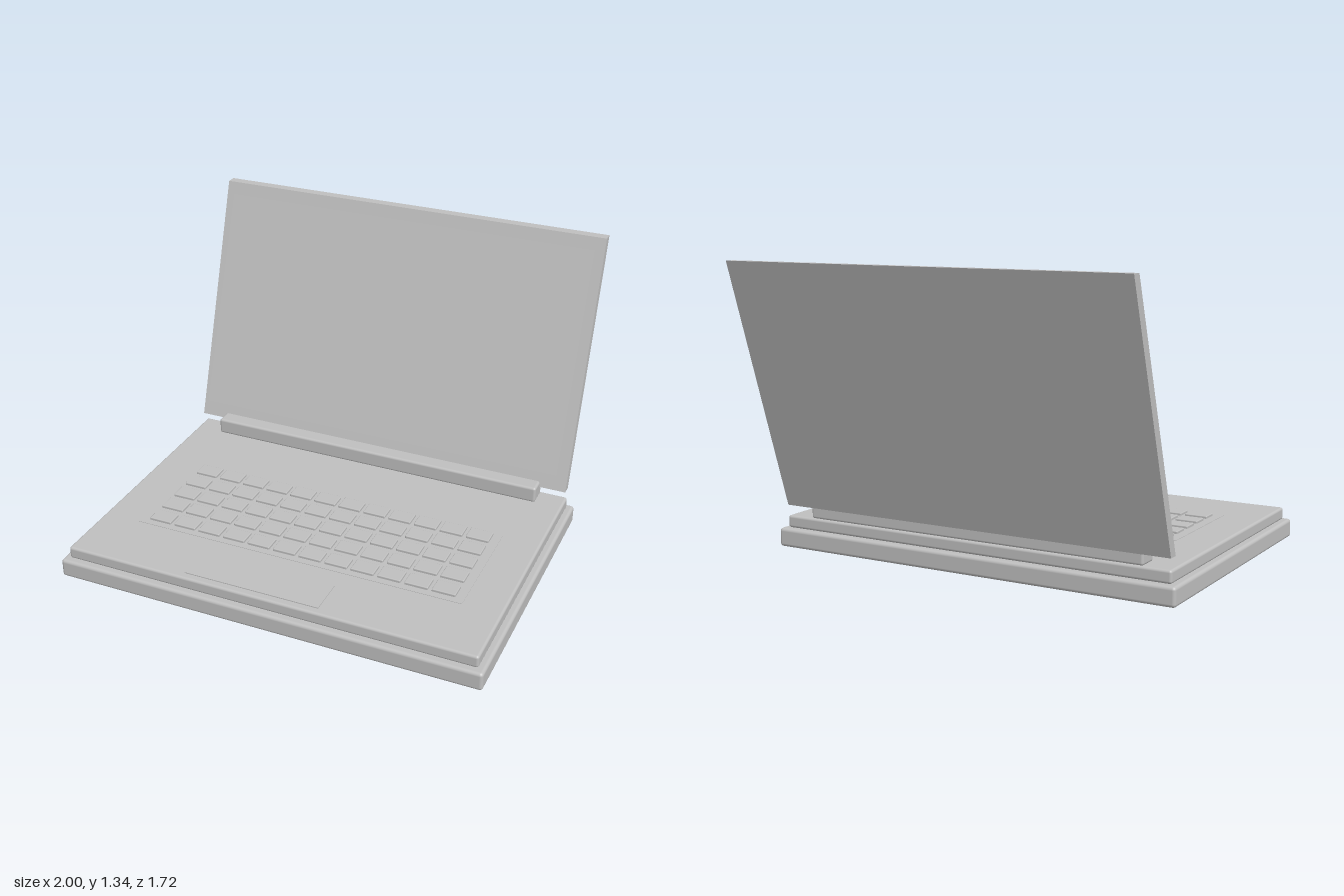
import * as THREE from 'three';
import { RoundedBoxGeometry } from 'three/addons/geometries/RoundedBoxGeometry.js';

const grey = new THREE.MeshStandardMaterial({ color: 0xbfbfbf });
grey.name = 'light grey';

function add(parent, name, geometry) {
  const mesh = new THREE.Mesh(geometry, grey);
  mesh.name = name;
  parent.add(mesh);
  return mesh;
}

// Box with softened edges, given by its limits on each axis
function softBox(parent, name, [x0, x1], [y0, y1], [z0, z1], radius) {
  const g = new RoundedBoxGeometry(x1 - x0, y1 - y0, z1 - z0, 3, radius);
  g.translate((x0 + x1) / 2, (y0 + y1) / 2, (z0 + z1) / 2);
  return add(parent, name, g);
}

// Thin flat plate lying on the deck
function plate(parent, name, [x0, x1], [z0, z1], y0, y1) {
  const g = new THREE.BoxGeometry(x1 - x0, y1 - y0, z1 - z0);
  g.translate((x0 + x1) / 2, (y0 + y1) / 2, (z0 + z1) / 2);
  return add(parent, name, g);
}

// Lean an upright geometry back, so its middle runs from zBottom to zTop
function lean(g, yBottom, yTop, zBottom, zTop) {
  const p = g.attributes.position;
  for (let i = 0; i < p.count; i++) {
    const t = (p.getY(i) - yBottom) / (yTop - yBottom);
    p.setZ(i, p.getZ(i) + zBottom + (zTop - zBottom) * t);
  }
  g.computeVertexNormals();
  return g;
}

// Upright sheet facing forward, leaning back
function leaningSheet(parent, name, halfWidth, yBottom, yTop, zBottom, zTop) {
  const g = new THREE.PlaneGeometry(halfWidth * 2, yTop - yBottom);
  g.translate(0, (yBottom + yTop) / 2, 0);
  return add(parent, name, lean(g, yBottom, yTop, zBottom, zTop));
}

export function createModel() {
  const laptop = new THREE.Group();
  laptop.name = 'laptop';

  // Stacked body
  softBox(laptop, 'base', [-1, 1], [0, 0.087], [-0.515, 0.855], 0.015);
  softBox(laptop, 'deck', [-0.97, 0.97], [0.087, 0.145], [-0.485, 0.825], 0.012);
  softBox(laptop, 'hingeBar', [-0.84, 0.84], [0.142, 0.22], [-0.475, -0.375], 0.012);

  // Keyboard tray and trackpad
  plate(laptop, 'keyboardTray', [-0.79, 0.79], [-0.037, 0.517], 0.143, 0.147);
  plate(laptop, 'trackpad', [-0.395, 0.245], [0.617, 0.79], 0.143, 0.149);

  // Five rows of twelve keys
  const keys = new THREE.Group();
  keys.name = 'keys';
  laptop.add(keys);
  for (let row = 0; row < 5; row++) {
    for (let col = 0; col < 12; col++) {
      const x = (col - 5.5) * 0.1263;
      const z = 0.002 + row * 0.111;
      softBox(keys, 'key', [x - 0.054, x + 0.054], [0.143, 0.159], [z - 0.039, z + 0.039], 0.004);
    }
  }

  // Lid with level top and bottom edges, leaning back
  const lid = new THREE.BoxGeometry(1.934, 1.145, 0.046);
  lid.translate(0, 0.7675, 0);
  add(laptop, 'lid', lean(lid, 0.195, 1.34, -0.463, -0.837));

  // Bezel and display float as sheets ahead of the lid
  leaningSheet(laptop, 'bezel', 0.923, 0.293, 1.29, -0.415, -0.778);
  leaningSheet(laptop, 'display', 0.88, 0.352, 1.243, -0.424, -0.742);

  return laptop;
}
